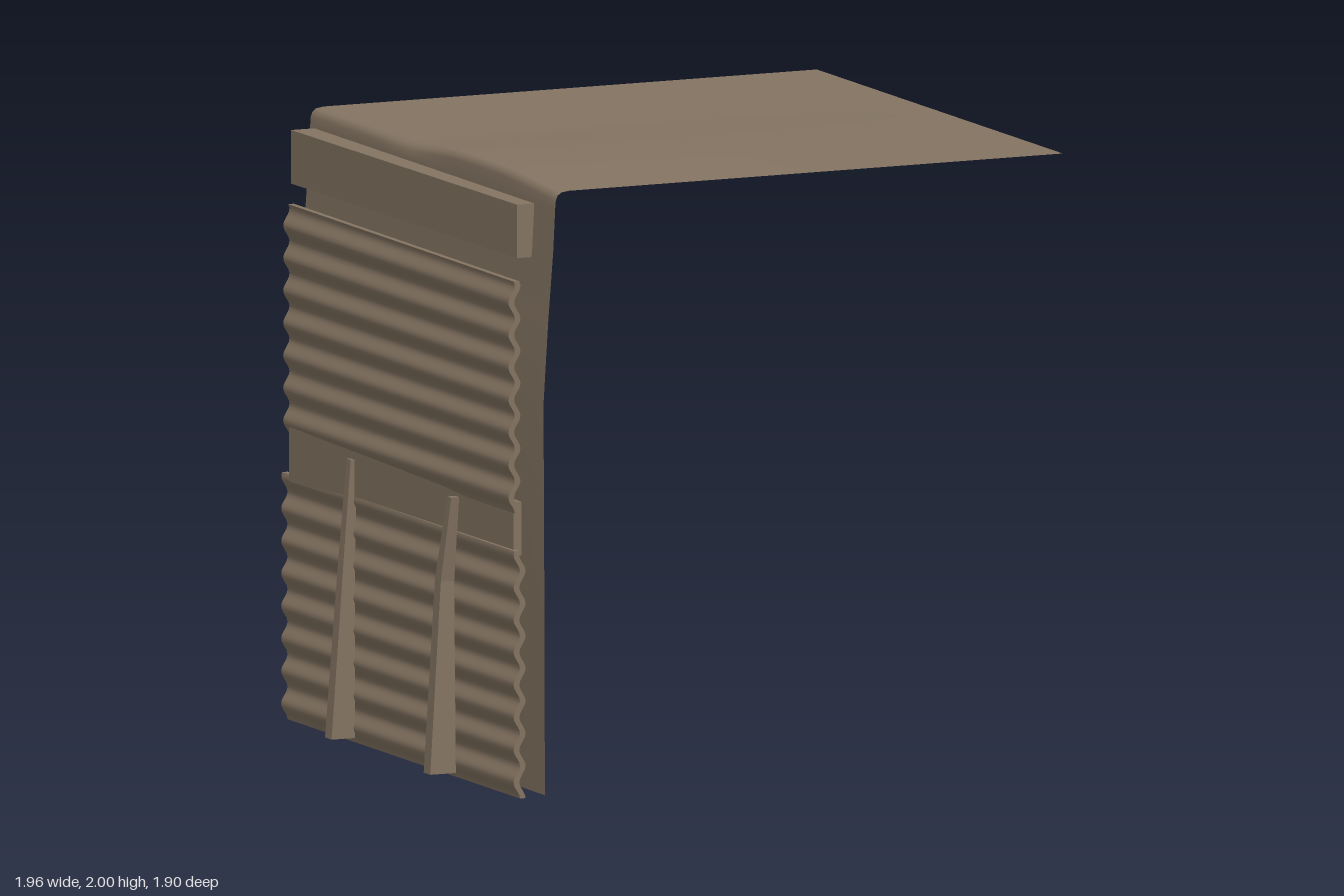
import * as THREE from 'three';
import { toCreasedNormals } from 'three/addons/utils/BufferGeometryUtils.js';

const { lerp, smoothstep } = THREE.MathUtils;

// Piecewise linear lookup in a list of [key, value] pairs
function lookup(pairs, k) {
  for (let i = 1; i < pairs.length; i++) {
    const [k0, v0] = pairs[i - 1], [k1, v1] = pairs[i];
    if (k <= k1) return lerp(v0, v1, Math.max(0, (k - k0) / (k1 - k0)));
  }
  return pairs[pairs.length - 1][1];
}

// Bent sheet: wall, rounded bend and flat roof, swept along z
function bentSheetGeometry() {
  const wall = [ // y, x at the back, x at the front, z of the front edge
    [0.03, -0.8, -0.848, 0.955], [0.35, -0.8, -0.85, 0.955], [0.65, -0.803, -0.85, 0.955],
    [0.95, -0.82, -0.85, 0.95], [1.3, -0.842, -0.845, 0.938], [1.55, -0.828, -0.828, 0.935],
    [1.78, -0.81, -0.81, 0.935], [1.92, -0.803, -0.803, 0.935],
  ];
  const crest = [[-0.92, 1.977], [-0.15, 1.977], [0.15, 1.998], [0.35, 2], [0.55, 1.998], [0.935, 1.975]];
  const cols = 32, pos = [], idx = [];
  let rows = 0;
  for (let c = 0; c <= cols; c++) {
    const s = c / cols, z = lerp(-0.92, 0.935, s);
    const top = lookup(crest, z), t = smoothstep(z, -0.3, 0.95);
    const bulge = 0.015 * Math.exp(-(((z + 0.2) / 0.2) ** 2));
    const line = wall.map(([y, xb, xf, zf]) => [lerp(xb, xf, t), y, lerp(-0.92, zf, s)]);
    line.push([-0.801, top - 0.03, z], [-0.795 + bulge / 2, top - 0.014, z],
      [-0.782 + bulge, top - 0.004, z], [-0.755 + bulge, top, z]);
    for (const u of [0.25, 0.5, 0.75, 1])
      line.push([lerp(-0.755, 0.98, u), lerp(top, 1.979, u), lerp(z, lerp(-0.92, 0.942, s), u)]);
    rows = line.length;
    pos.push(...line.flat());
  }
  for (let c = 0; c < cols; c++) {
    for (let r = 0; r < rows - 1; r++) {
      const a = c * rows + r, b = a + rows;
      idx.push(a, b, a + 1, b, b + 1, a + 1);
    }
  }
  const g = new THREE.BufferGeometry();
  g.setAttribute('position', new THREE.Float32BufferAttribute(pos, 3));
  g.setIndex(idx);
  g.computeVertexNormals();
  return g;
}

// Corrugated panel: wavy strip in x/y, extruded along z
function corrugatedGeometry(y0, y1, x, z0, z1) {
  const pitch = 0.105, n = Math.round((y1 - y0) / pitch * 10), outer = [], inner = [];
  for (let i = 0; i <= n; i++) {
    const y = lerp(y0, y1, i / n), w = x + 0.011 * Math.cos((y - y0) / pitch * Math.PI * 2);
    outer.push(new THREE.Vector2(w - 0.01, y));
    inner.unshift(new THREE.Vector2(w + 0.01, y));
  }
  const g = new THREE.ExtrudeGeometry(new THREE.Shape([...outer, ...inner]), { depth: z1 - z0, bevelEnabled: false });
  g.translate(0, 0, z0);
  return toCreasedNormals(g, 0.9);
}

// Tapered brace: box whose levels follow [y, outer x, inner x, z, z width]
function braceGeometry(levels) {
  const n = levels.length - 1, box = new THREE.BoxGeometry(1, 1, 1, 1, n, 1), p = box.attributes.position;
  for (let i = 0; i < p.count; i++) {
    const [y, xo, xi, z, w] = levels[Math.round((p.getY(i) + 0.5) * n)];
    p.setXYZ(i, p.getX(i) < 0 ? xo : xi, y, z + p.getZ(i) * w);
  }
  const g = box.toNonIndexed();
  g.computeVertexNormals();
  return g;
}

export function createModel() {
  const model = new THREE.Group();
  model.name = 'leanToShelter';
  const brown = new THREE.MeshStandardMaterial({ color: 0x837361, side: THREE.DoubleSide });
  brown.name = 'weatheredBrown';
  const add = (name, geometry) => {
    const mesh = new THREE.Mesh(geometry, brown);
    mesh.name = name;
    model.add(mesh);
    return mesh;
  };

  add('bentSheet', bentSheetGeometry());

  // Corrugated cladding outside the wall
  add('lowerCorrugatedPanel', corrugatedGeometry(0, 0.8, -0.87, -0.95, 0.81));
  add('upperCorrugatedPanel', corrugatedGeometry(0.92, 1.67, -0.88, -0.917, 0.8)).rotation.y = -0.003;

  // Horizontal beams, slightly skewed
  for (const [name, x, y, yaw] of [['upperBeam', -0.831, 1.828, 0.013], ['middleBeam', -0.841, 0.867, 0.01]]) {
    const beam = add(name, new THREE.BoxGeometry(0.088, 0.173, 1.665));
    beam.position.set(x, y, -0.055);
    beam.rotation.y = yaw;
  }

  // Ground braces leaning on the cladding
  add('backBrace', braceGeometry([
    [0.02, -0.968, -0.885, -0.428, 0.05], [0.6, -0.925, -0.885, -0.424, 0.04], [0.92, -0.902, -0.88, -0.415, 0.03],
  ]));
  add('frontBrace', braceGeometry([
    [0.02, -0.98, -0.89, 0.345, 0.05], [0.64, -0.937, -0.89, 0.335, 0.045], [0.915, -0.918, -0.89, 0.38, 0.03],
  ]));

  return model;
}
